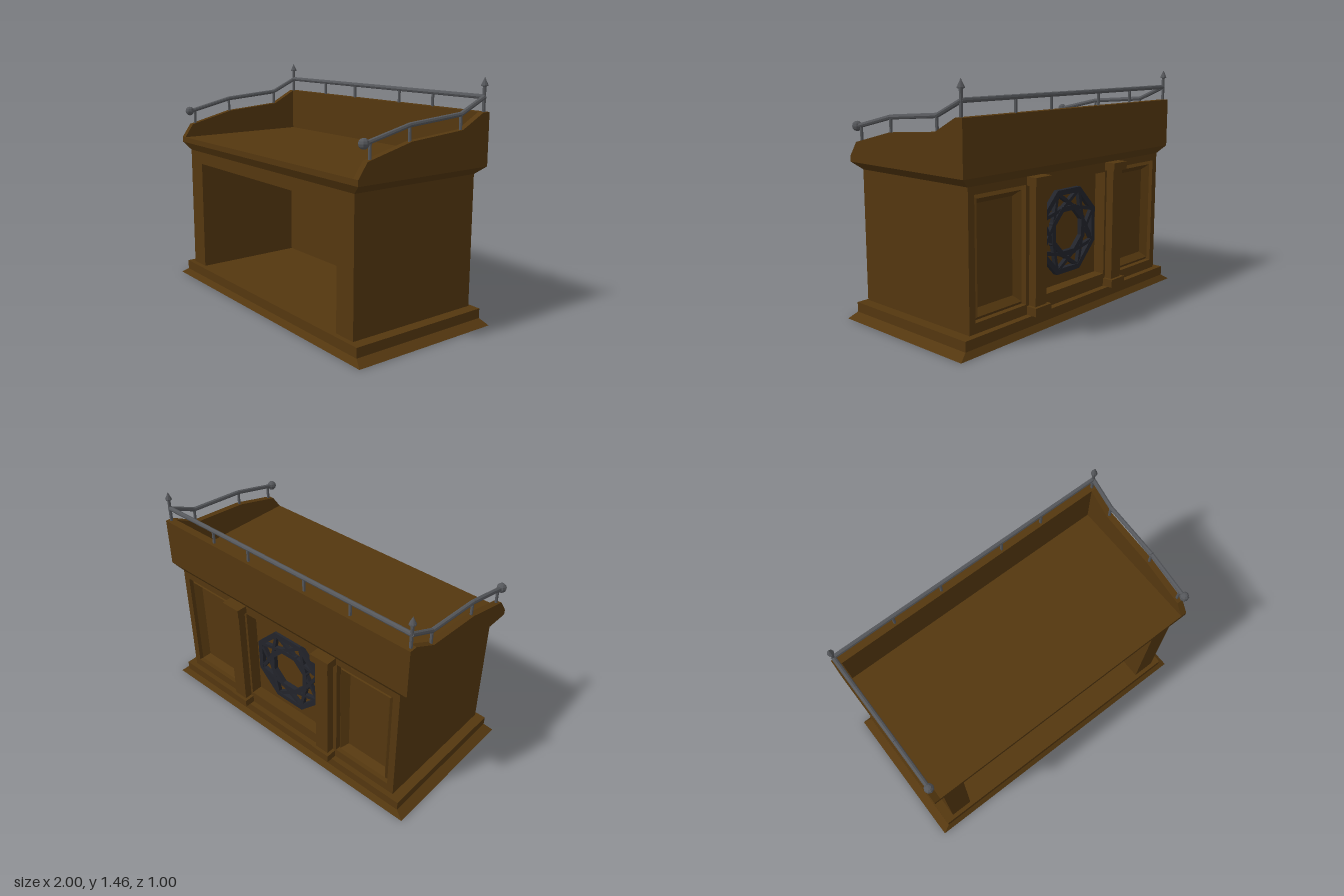
import * as THREE from 'three';

const wood = new THREE.MeshStandardMaterial({ color: 0x54370f, side: THREE.DoubleSide });
wood.name = 'brown wood';
const iron = new THREE.MeshStandardMaterial({ color: 0x55575b, flatShading: true });
iron.name = 'grey iron';
const darkIron = new THREE.MeshStandardMaterial({ color: 0x22242b });
darkIron.name = 'dark iron';

export function createModel() {
  const model = new THREE.Group();
  model.name = 'serviceCounter';

  const add = (name, geometry, material = wood, x = 0, y = 0, z = 0) => {
    const mesh = new THREE.Mesh(geometry, material);
    mesh.name = name;
    mesh.position.set(x, y, z);
    model.add(mesh);
    return mesh;
  };
  const box = (name, w, h, d, x, y, z) => add(name, new THREE.BoxGeometry(w, h, d), wood, x, y, z);

  // Flat-faced surface through four-cornered rings, closed over the last ring
  const loft = (rings) => {
    const pos = [];
    const quad = (a, b, c, d) => [a, b, c, a, c, d].forEach((p) => pos.push(...p));
    for (let r = 0; r < rings.length - 1; r++) {
      for (let i = 0; i < 4; i++) {
        const j = (i + 1) % 4;
        quad(rings[r][i], rings[r][j], rings[r + 1][j], rings[r + 1][i]);
      }
    }
    quad(...rings[rings.length - 1]);
    const g = new THREE.BufferGeometry();
    g.setAttribute('position', new THREE.Float32BufferAttribute(pos, 3));
    g.computeVertexNormals();
    return g;
  };
  const level = (x, y, front, back) => [[x, y, front], [x, y, back], [-x, y, back], [-x, y, front]];
  const polygon = (points) => new THREE.Shape(points.map((p) => new THREE.Vector2(...p)));
  const rect = (x0, y0, x1, y1) => [[x0, y0], [x1, y0], [x1, y1], [x0, y1]];
  const extrude = (shape, depth) => new THREE.ExtrudeGeometry(shape, { depth, bevelEnabled: false });

  // Hollow plinth with a flared skirt
  add('plinth', loft([
    level(1, 0, 0.5, -0.49), level(0.945, 0.035, 0.475, -0.465), level(0.945, 0.095, 0.475, -0.465),
  ]));

  // Body with an open kneehole at the front
  const arch = polygon([[-0.885, 0.1], [-0.74, 0.1], [-0.74, 0.82], [0.74, 0.82], [0.74, 0.1],
    [0.885, 0.1], [0.885, 0.9], [-0.885, 0.9]]);
  add('body', extrude(arch, 0.73), wood, 0, 0, -0.28);
  box('backCore', 1.77, 0.8, 0.08, 0, 0.5, -0.32);

  // Panelled back
  const frame = polygon(rect(-0.885, 0.1, 0.885, 0.9));
  const openings = [rect(-0.3, 0.18, 0.3, 0.84), rect(0.44, 0.16, 0.84, 0.855), rect(-0.84, 0.16, -0.44, 0.855)];
  openings.forEach((o) => frame.holes.push(polygon(o)));
  add('backFrame', extrude(frame, 0.075), wood, 0, 0, -0.435);
  for (const side of [-1, 1]) {
    const ring = (inset, z) => rect(0.44 + inset, 0.16 + inset, 0.84 - inset, 0.855 - inset)
      .map(([x, y]) => [-x, y, z]);
    add('backPanel', loft([ring(0, -0.4), ring(0.025, -0.425), ring(0.06, -0.385)]),
      wood, side < 0 ? 0 : 1.28, 0, 0);

    // Pilaster with square cap and foot
    const x = side * 0.365;
    box('pilasterShaft', 0.095, 0.8, 0.05, x, 0.5, -0.46);
    box('pilasterFoot', 0.135, 0.05, 0.07, x, 0.125, -0.47);
    box('pilasterCap', 0.135, 0.05, 0.07, x, 0.875, -0.47);
  }

  // Octagonal lattice ornament
  const corner = (r, i) => new THREE.Vector2(
    r * Math.cos((i + 0.5) * Math.PI / 4), r * Math.sin((i + 0.5) * Math.PI / 4));
  const octagon = (r) => Array.from({ length: 8 }, (_, i) => corner(r, i));
  const latticeRing = (name, outer, inner) => {
    const s = new THREE.Shape(octagon(outer));
    s.holes.push(new THREE.Path(octagon(inner)));
    add(name, extrude(s, 0.03), darkIron, 0, 0.51, -0.39);
  };
  latticeRing('ornamentRim', 0.28, 0.245);
  latticeRing('ornamentInnerRing', 0.167, 0.132);
  for (let i = 0; i < 8; i++) {
    for (const step of [-1, 1]) {
      const a = corner(0.26, i);
      const b = corner(0.15, i + step);
      const bar = add('ornamentBar', new THREE.BoxGeometry(a.distanceTo(b), 0.022, 0.025), darkIron,
        (a.x + b.x) / 2, 0.51 + (a.y + b.y) / 2, -0.375);
      bar.rotation.z = Math.atan2(b.y - a.y, b.x - a.x);
    }
  }

  // Counter top, side boards and back board
  add('counterTop', loft([
    level(0.885, 0.9, 0.45, -0.435), level(0.95, 0.95, 0.48, -0.47), level(0.95, 0.985, 0.48, -0.47),
  ]));
  const profile = polygon([[0.48, 0.95], [0.48, 0.985], [0.42, 1.07], [0.12, 1.145], [-0.26, 1.175],
    [-0.42, 1.26], [-0.47, 1.26], [-0.47, 0.95]].map(([z, y]) => [-z, y]));
  for (const side of [-1, 1]) {
    const board = add('sideBoard', extrude(profile, 0.04), wood, side < 0 ? -0.95 : 0.91, 0, 0);
    board.rotation.y = Math.PI / 2;
  }
  box('backBoard', 1.88, 0.31, 0.05, 0, 1.105, -0.445);

  // Metal gallery rail
  const rod = (name, from, to, radius) => {
    const a = new THREE.Vector3(...from);
    const b = new THREE.Vector3(...to);
    const mesh = add(name, new THREE.CylinderGeometry(radius, radius, a.distanceTo(b), 8), iron);
    mesh.position.copy(a).add(b).multiplyScalar(0.5);
    mesh.quaternion.setFromUnitVectors(new THREE.Vector3(0, 1, 0), b.sub(a).normalize());
  };
  rod('backRail', [-0.93, 1.345, -0.442], [0.93, 1.345, -0.442], 0.014);
  for (const x of [-0.535, -0.205, 0.235, 0.53]) {
    rod('backRailPost', [x, 1.25, -0.442], [x, 1.345, -0.442], 0.009);
  }
  const path = [[1.16, 0.42], [1.23, 0.12], [1.26, -0.26], [1.345, -0.445]];
  const finial = [[0, 0], [0.02, 0.005], [0.02, 0.012], [0, 0.055]].map((p) => new THREE.Vector2(...p));
  for (const x of [-0.93, 0.93]) {
    for (let i = 0; i < 3; i++) {
      rod('sideRail', [x, ...path[i]], [x, ...path[i + 1]], 0.014);
    }
    for (const [z, bottom, top] of [[0.39, 1.06, 1.16], [0.12, 1.13, 1.23], [-0.26, 1.16, 1.26]]) {
      rod('sideRailPost', [x, bottom, z], [x, top, z], 0.009);
    }
    add('railBall', new THREE.SphereGeometry(0.03, 8, 6), iron, x, 1.16, 0.43);
    rod('cornerPost', [x, 1.25, -0.442], [x, 1.41, -0.442], 0.01);
    add('cornerFinial', new THREE.LatheGeometry(finial, 8), iron, x, 1.4, -0.442);
  }

  return model;
}
